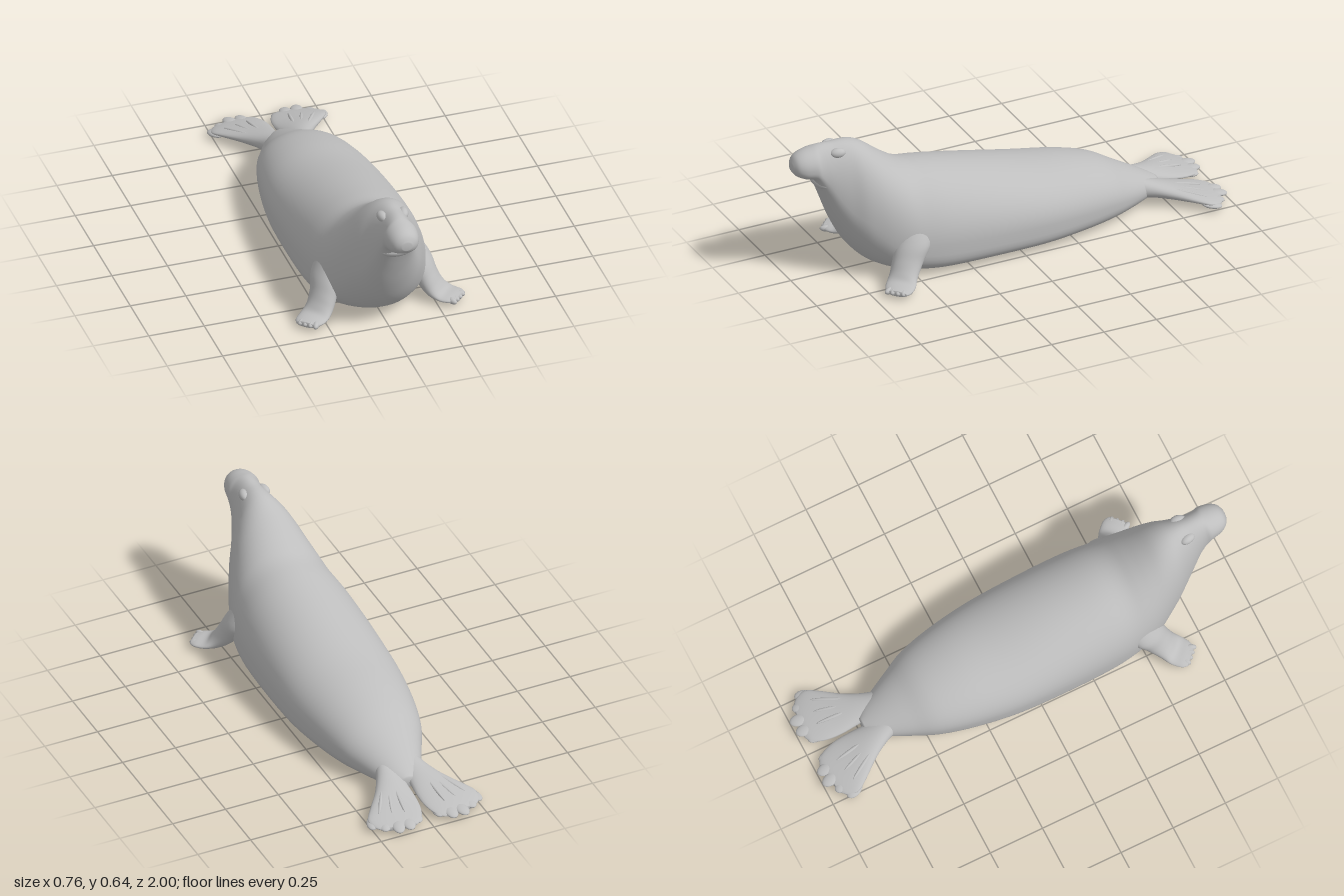
import * as THREE from 'three';

const hide = new THREE.MeshStandardMaterial({ color: 0xbebebe });
hide.name = 'grey hide';

// Smooth (Catmull-Rom) in-between rows for a table of section numbers
function refine(rows, steps) {
  const out = [];
  for (let i = 0; i < rows.length - 1; i++) {
    const a = rows[Math.max(i - 1, 0)], b = rows[i], c = rows[i + 1];
    const d = rows[Math.min(i + 2, rows.length - 1)];
    for (let s = 0; s < steps; s++) {
      const t = s / steps;
      out.push(b.map((p, k) => {
        const cubic = 3 * (p - c[k]) + d[k] - a[k];
        const square = 2 * a[k] - 5 * p + 4 * c[k] - d[k];
        return p + 0.5 * t * (c[k] - a[k] + t * (square + t * cubic));
      }));
    }
  }
  out.push(rows[rows.length - 1]);
  return out;
}

// Skin a list of rings, closing both ends
function skin(rings) {
  const n = rings[0].length, pos = [], index = [];
  rings.forEach(r => r.forEach(p => pos.push(p.x, p.y, p.z)));
  for (let i = 0; i < rings.length - 1; i++) {
    for (let j = 0; j < n; j++) {
      const a = i * n + j, b = i * n + (j + 1) % n;
      index.push(a, b, a + n, b, b + n, a + n);
    }
  }
  [0, rings.length - 1].forEach((i, end) => {
    const c = new THREE.Vector3();
    rings[i].forEach(p => c.addScaledVector(p, 1 / n));
    const k = pos.length / 3;
    pos.push(c.x, c.y, c.z);
    for (let j = 0; j < n; j++) {
      const a = i * n + j, b = i * n + (j + 1) % n;
      if (end) index.push(a, b, k); else index.push(b, a, k);
    }
  });
  const g = new THREE.BufferGeometry();
  g.setAttribute('position', new THREE.Float32BufferAttribute(pos, 3));
  g.setIndex(index);
  g.computeVertexNormals();
  return g;
}

// Elliptical limb: rows of centre, half-width vector, half-thickness vector
function limb(rows) {
  return skin(refine(rows, 5).map(r => Array.from({ length: 28 }, (_, j) => {
    const t = j / 28 * Math.PI * 2, c = Math.cos(t), s = Math.sin(t);
    return new THREE.Vector3(...[0, 1, 2].map(k => r[k] + c * r[3 + k] + s * r[6 + k]));
  })));
}

function add(parent, name, geometry) {
  const m = new THREE.Mesh(geometry, hide);
  m.name = name;
  parent.add(m);
  return m;
}

function blob(parent, name, p, r, yaw, pitch) {
  const m = add(parent, name, new THREE.SphereGeometry(1, 24, 16));
  m.position.set(...p);
  m.scale.set(...r);
  m.rotation.set(pitch, yaw, 0, 'YXZ');
}

function bodyGeometry() {
  // z, top, widest height, bottom, half width, squareness of the underside
  const rows = [
    [-0.74, 0.09, 0.065, 0.04, 0.03, 2],
    [-0.70, 0.115, 0.07, 0.025, 0.075, 2],
    [-0.64, 0.15, 0.075, 0.012, 0.11, 2.2],
    [-0.55, 0.2, 0.09, 0.005, 0.155, 2.6],
    [-0.45, 0.255, 0.11, 0.003, 0.2, 3],
    [-0.3, 0.298, 0.12, 0.002, 0.237, 3.5],
    [-0.1, 0.335, 0.13, 0, 0.264, 4],
    [0.15, 0.395, 0.14, 0, 0.271, 4],
    [0.35, 0.44, 0.15, 0, 0.265, 4],
    [0.47, 0.465, 0.155, 0.003, 0.25, 3.5],
    [0.54, 0.505, 0.17, 0.008, 0.235, 3],
    [0.6, 0.55, 0.2, 0.018, 0.213, 2.6],
    [0.66, 0.597, 0.25, 0.045, 0.185, 2.3],
    [0.71, 0.622, 0.29, 0.09, 0.16, 2.1],
    [0.76, 0.632, 0.33, 0.155, 0.128, 2],
    [0.81, 0.633, 0.4, 0.25, 0.1, 2],
    [0.85, 0.635, 0.47, 0.35, 0.082, 2],
    [0.88, 0.634, 0.51, 0.43, 0.076, 2],
    [0.905, 0.629, 0.545, 0.483, 0.076, 2.6],
    [0.95, 0.618, 0.55, 0.497, 0.068, 2.5],
    [0.982, 0.6, 0.553, 0.513, 0.05, 2.2],
    [0.998, 0.572, 0.553, 0.535, 0.022, 2],
  ];
  const n = 56;
  return skin(refine(rows, 4).map(([z, top, mid, bot, w, e]) =>
    Array.from({ length: n }, (_, j) => {
      const t = j / n * Math.PI * 2, c = Math.cos(t), s = Math.sin(t);
      const p = s < 0 ? 2 / e : 1;
      const x = Math.sign(c) * Math.abs(c) ** p * w;
      const y = s < 0 ? mid - Math.abs(s) ** p * (mid - bot) : mid + s * (top - mid);
      return new THREE.Vector3(x, y, z);
    })));
}

// One side of the paired parts, built at +x
function sideParts(name) {
  const g = new THREE.Group();
  g.name = name;

  add(g, 'frontFlipper', limb([
    [0.19, 0.25, 0.49, 0, 0, -0.06, 0.035, 0, 0],
    [0.215, 0.16, 0.525, 0.015, 0, -0.075, 0.05, 0.015, 0],
    [0.235, 0.095, 0.56, 0.03, 0, -0.06, 0.037, 0.025, 0.015],
    [0.262, 0.05, 0.592, 0.042, 0, -0.047, 0.018, 0.027, 0.015],
    [0.295, 0.03, 0.62, 0.046, 0, -0.048, 0.003, 0.019, 0.003],
    [0.328, 0.026, 0.648, 0.045, 0, -0.041, 0, 0.016, 0],
    [0.348, 0.025, 0.665, 0.032, 0, -0.03, 0, 0.012, 0],
  ]));
  // Front toes along the slanted outer edge
  for (let i = 0; i < 4; i++) {
    const t = i / 3;
    blob(g, 'frontToe', [0.352 - 0.046 * t, 0.025, 0.634 + 0.046 * t],
      [0.014, 0.014, 0.028], 0.95 - 0.5 * t, 0);
  }

  add(g, 'hindFlipper', limb([
    [0.055, 0.085, -0.62, -0.045, 0, 0, 0, 0.05, 0],
    [0.065, 0.075, -0.68, -0.058, 0, 0, 0, 0.04, 0],
    [0.085, 0.06, -0.75, -0.078, 0, 0, 0, 0.034, 0],
    [0.115, 0.045, -0.83, -0.11, 0, 0, 0, 0.025, 0],
    [0.135, 0.034, -0.89, -0.122, 0, -0.008, 0, 0.019, 0],
    [0.142, 0.024, -0.94, -0.105, 0, -0.014, 0, 0.014, 0],
    [0.143, 0.018, -0.965, -0.075, 0, -0.01, 0, 0.01, 0],
  ]));
  // Scalloped hind toes: x, z of centre, yaw
  [[0.055, -0.925, 0.1], [0.1, -0.957, -0.05], [0.15, -0.96, -0.2],
    [0.196, -0.925, -0.36], [0.238, -0.892, -0.45]].forEach(([x, z, yaw]) => {
    blob(g, 'hindToe', [x, 0.024, z], [0.028, 0.012, 0.044], yaw, -0.13);
  });
  // Raised finger bones on the hind flipper
  for (let i = 0; i < 3; i++) {
    blob(g, 'hindRay', [0.085 + 0.04 * i, 0.066, -0.83 + 0.008 * i],
      [0.008, 0.008, 0.08], -0.12 - 0.2 * i, -0.2);
  }

  blob(g, 'brow', [0.047, 0.598, 0.8], [0.022, 0.022, 0.035], -0.2, 0);
  return g;
}

export function createModel() {
  const model = new THREE.Group();
  model.name = 'seal';
  add(model, 'body', bodyGeometry());
  blob(model, 'lowerJaw', [0, 0.458, 0.852], [0.077, 0.032, 0.048], 0, -0.15);

  const left = sideParts('leftSide');
  const right = sideParts('rightSide');
  right.scale.x = -1;
  model.add(left, right);
  return model;
}
